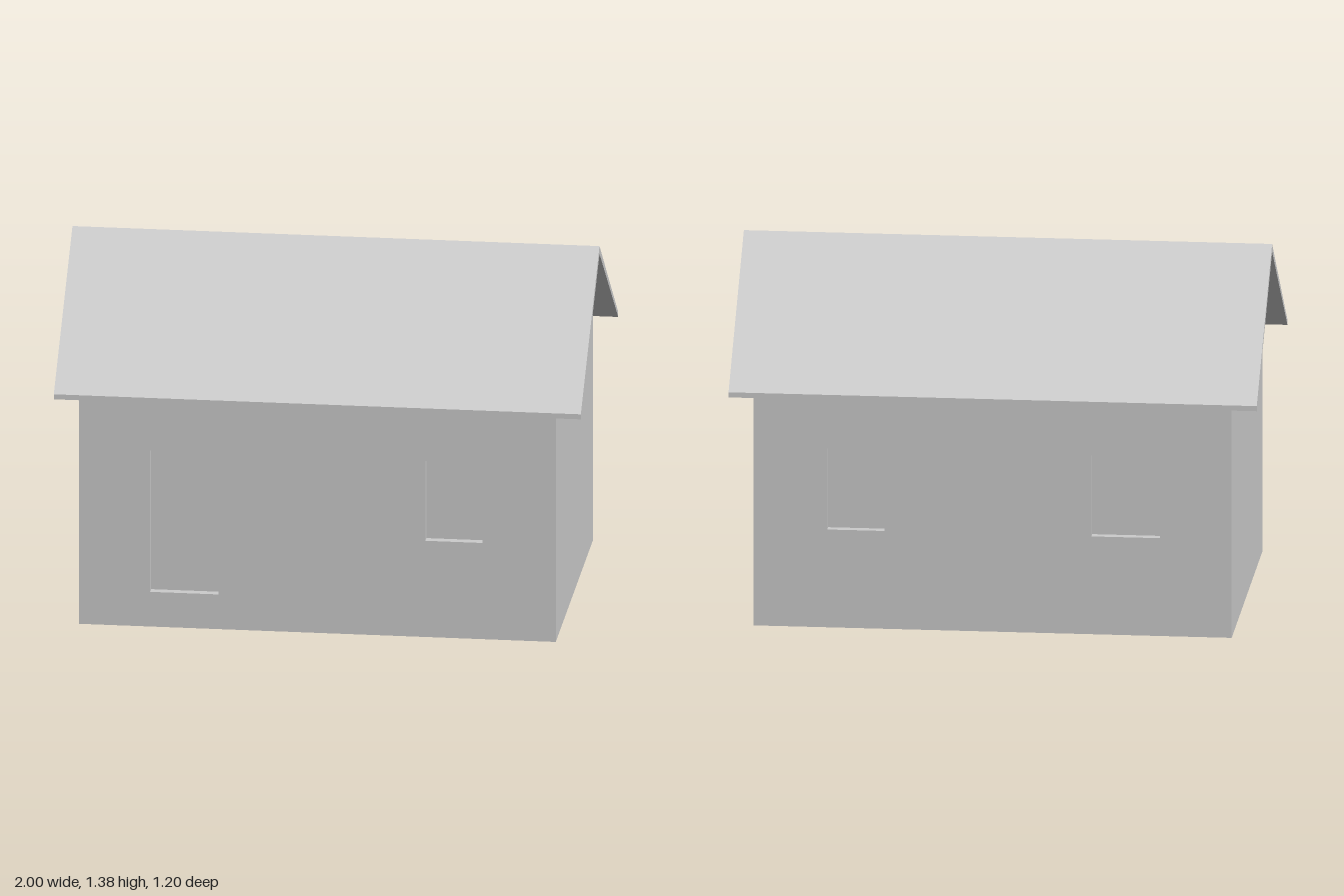
import * as THREE from 'three';

const WALL_X = 0.905, HALF_Z = 0.602, EAVE = 0.89, APEX = 1.345, RECESS = 0.032;

const shapeOf = (points) => new THREE.Shape(points.map(([x, y]) => new THREE.Vector2(x, y)));

// Prism running along x, from a (z, y) outline
function prismAlongX(points, halfLength) {
  const geometry = new THREE.ExtrudeGeometry(shapeOf(points), { depth: 2 * halfLength, bevelEnabled: false });
  return geometry.translate(0, 0, -halfLength).rotateY(Math.PI / 2);
}

// Long wall skin with rectangular openings [x0, x1, y0, y1]
function wallSkin(openings, z) {
  const shape = shapeOf([[-WALL_X, 0], [WALL_X, 0], [WALL_X, EAVE], [-WALL_X, EAVE]]);
  for (const [x0, x1, y0, y1] of openings) {
    shape.holes.push(new THREE.Path([[x0, y0], [x0, y1], [x1, y1], [x1, y0]].map(([x, y]) => new THREE.Vector2(x, y))));
  }
  return new THREE.ExtrudeGeometry(shape, { depth: RECESS, bevelEnabled: false }).translate(0, 0, z);
}

export function createModel() {
  const group = new THREE.Group();
  group.name = 'house';
  const grey = new THREE.MeshStandardMaterial({ color: 0xcccccc });
  grey.name = 'lightGrey';

  const add = (name, geometry) => {
    const mesh = new THREE.Mesh(geometry, grey);
    mesh.name = name;
    group.add(mesh);
  };

  // Core with gables; its long sides are the backs of the recesses
  const inner = HALF_Z - RECESS;
  add('gableCore', prismAlongX([
    [-inner, 0], [inner, 0], [inner, EAVE], [HALF_Z, EAVE],
    [0, APEX], [-HALF_Z, EAVE], [-inner, EAVE],
  ], WALL_X));

  // Long walls with recessed door and windows
  const smallWindow = [0.41, 0.626, 0.383, 0.7];
  const door = [-0.634, -0.374, 0.138, 0.7];
  const wideWindow = [-0.634, -0.374, 0.383, 0.7];
  add('frontWall', wallSkin([door, smallWindow], inner));
  add('backWall', wallSkin([wideWindow, smallWindow], -HALF_Z));

  // Thin folded roof overhanging the gables
  add('roof', prismAlongX([
    [-HALF_Z, EAVE], [0, APEX], [HALF_Z, EAVE],
    [HALF_Z, 0.91], [0, 1.376], [-HALF_Z, 0.91],
  ], 1));

  return group;
}
